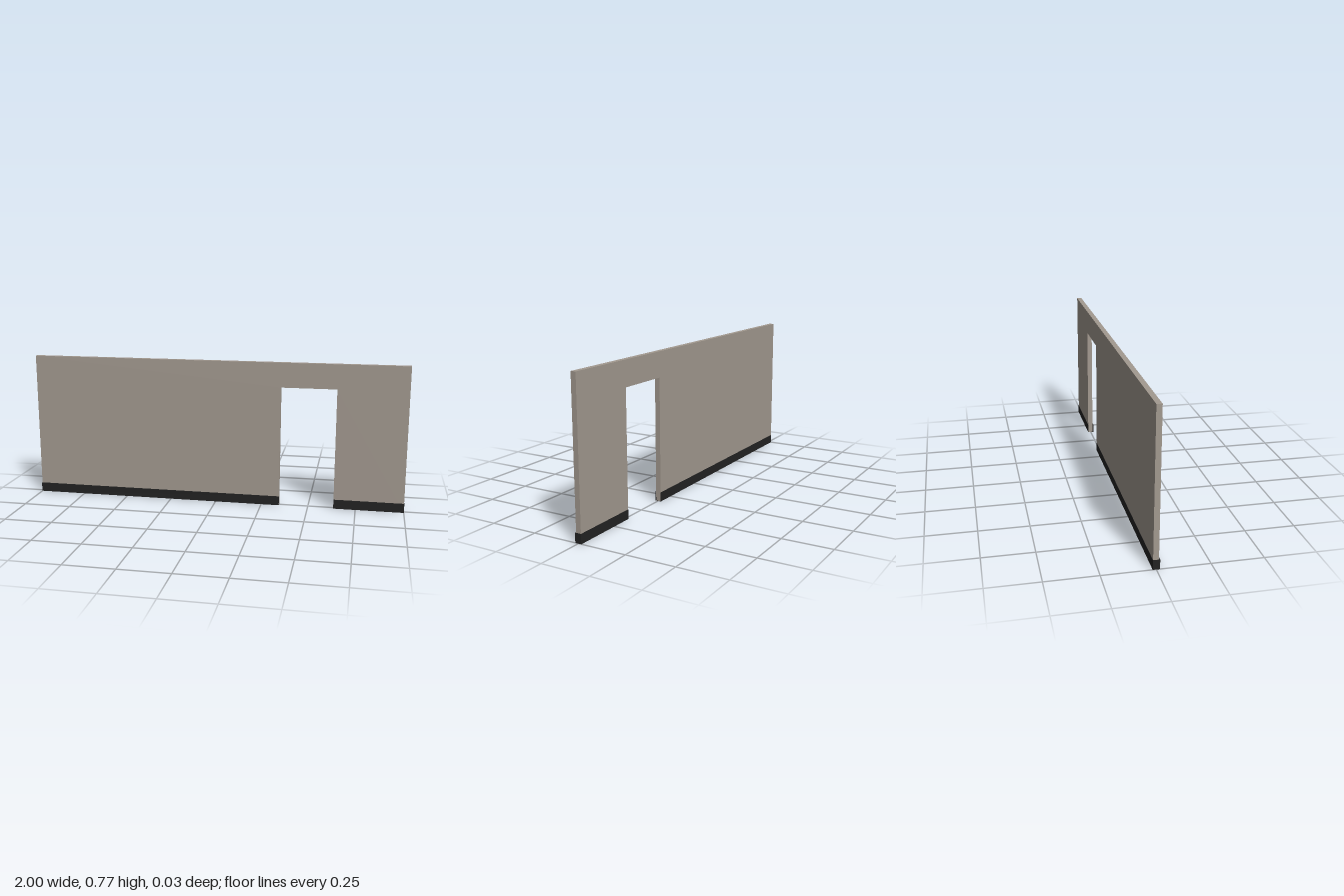
import * as THREE from 'three';

export function createModel() {
  const model = new THREE.Group();
  const wallPaint = new THREE.MeshStandardMaterial({ color: 0xa39a90 });
  wallPaint.name = 'warm grey wall paint';
  const skirtingPaint = new THREE.MeshStandardMaterial({ color: 0x222222 });
  skirtingPaint.name = 'black skirting paint';

  const H = 0.77, doorL = 0.345, doorR = 0.635, doorTop = 0.64;
  const back = -0.0155, front = 0.011, lip = 0.0165;
  const baseH = 0.048, skin = 0.001;

  // Wall panel with a door opening that reaches the floor
  const outline = new THREE.Shape([
    [-1, skin], [doorL, skin], [doorL, doorTop], [doorR, doorTop],
    [doorR, skin], [1, skin], [1, H], [-1, H],
  ].map(([x, y]) => new THREE.Vector2(x, y)));
  const wallGeometry = new THREE.ExtrudeGeometry(outline, { depth: front - back, bevelEnabled: false });
  wallGeometry.translate(0, 0, back);
  const wall = new THREE.Mesh(wallGeometry, wallPaint);
  wall.name = 'wall';
  model.add(wall);

  // Box given by its lower and upper corners
  function slab(name, x0, x1, y0, y1, z0, z1) {
    const mesh = new THREE.Mesh(new THREE.BoxGeometry(x1 - x0, y1 - y0, z1 - z0), skirtingPaint);
    mesh.position.set((x0 + x1) / 2, (y0 + y1) / 2, (z0 + z1) / 2);
    mesh.name = name;
    model.add(mesh);
  }

  // Skirting on both sides of the door: raised at the front, flush behind and below
  for (const [side, x0, x1] of [['right', -1, doorL], ['left', doorR, 1]]) {
    slab(side + 'FrontSkirting', x0, x1, 0, baseH, front, lip);
    slab(side + 'BackSkirting', x0, x1, 0, baseH, back - skin, back);
    slab(side + 'Underside', x0, x1, 0, skin, back, front);
  }

  // Skirting wrapped round the outer ends; the door jambs stay wall-coloured
  slab('rightEndSkirting', -1 - skin, -1, 0, baseH, back - skin, lip);
  slab('leftEndSkirting', 1, 1 + skin, 0, baseH, back - skin, lip);

  return model;
}
